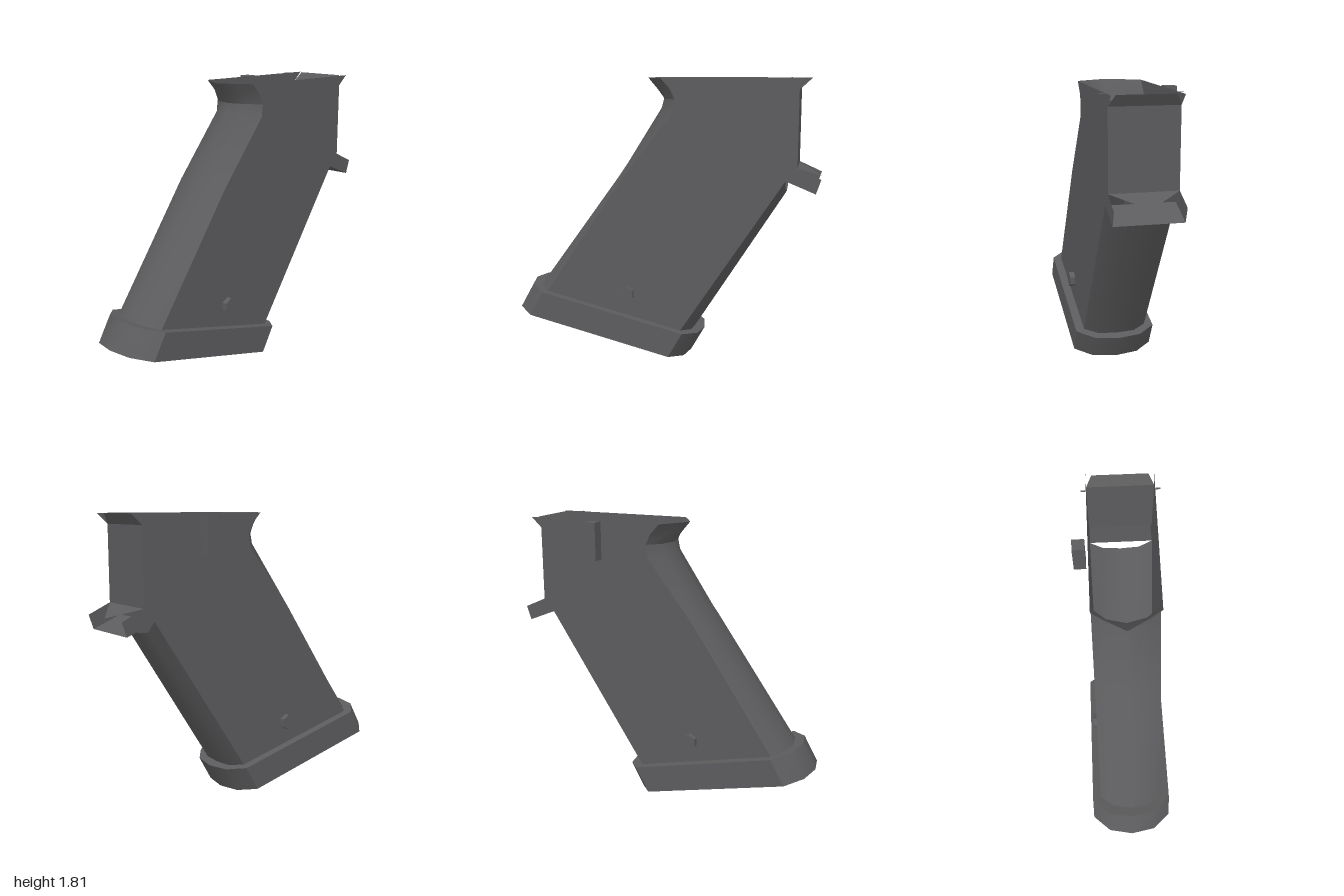
import * as THREE from 'three';
import { toCreasedNormals } from 'three/addons/utils/BufferGeometryUtils.js';

const CZ = 0.018;            // middle plane of the grip
const HALF = 0.205;          // half width of the grip body

export function createModel() {
  const group = new THREE.Group();
  const grey = new THREE.MeshStandardMaterial({ color: 0x5c5c5e, side: THREE.DoubleSide });
  grey.name = 'dark grey';

  const add = (name, geometry, x = 0, y = 0, z = 0) => {
    const mesh = new THREE.Mesh(geometry, grey);
    mesh.name = name;
    mesh.position.set(x, y, z);
    group.add(mesh);
    return mesh;
  };

  // Skin through rows of [x, y, z] points; ends are closed with fans if asked
  const loft = (rows, closeEnds = false) => {
    const n = rows[0].length, index = [];
    for (let r = 0; r < rows.length - 1; r++)
      for (let i = 0; i < n - 1; i++) {
        const a = r * n + i, b = a + n;
        index.push(a, a + 1, b, a + 1, b + 1, b);
      }
    if (closeEnds) {
      const last = (rows.length - 1) * n;
      for (let i = 1; i < n - 2; i++) {
        index.push(0, i + 1, i);
        index.push(last, last + i, last + i + 1);
      }
    }
    const g = new THREE.BufferGeometry();
    g.setAttribute('position', new THREE.Float32BufferAttribute(rows.flat(2), 3));
    g.setIndex(index);
    return toCreasedNormals(g, 0.75);
  };

  // Bowed row across the width: seam at both sides, tip in the middle
  const bow = ([sx, sy], [tx, ty], half, f) =>
    [[1, 0], [0.585, f], [0, 1], [-0.585, f], [-1, 0]].map(([w, k]) =>
      [sx + (tx - sx) * k, sy + (ty - sy) * k, CZ + half * w]);

  // Flat side panels
  const outline = [
    [-0.765, 0.415], [-0.24, 1.19], [0.08, 1.6], [0.09, 1.68], [0.06, 1.745], [0, 1.81],
    [0.92, 1.81], [0.85, 1.745], [0.85, 1.27], [0.995, 1.205], [0.965, 1.115],
    [0.78, 1.19], [0.13, 0.197],
  ];
  const side = new THREE.ShapeGeometry(new THREE.Shape(outline.map(p => new THREE.Vector2(...p))));
  add('leftSidePanel', side, 0, 0, CZ + HALF);
  add('rightSidePanel', side.clone().rotateX(Math.PI).scale(1, -1, 1), 0, 0, CZ - HALF);

  // Rounded back strap with a flared beak at the top
  const backTips = [[-0.85, 0.435], [-0.3, 1.19], [-0.03, 1.62], [-0.015, 1.68], [-0.06, 1.74], [-0.12, 1.81]];
  const backBow = [0.72, 0.72, 0.72, 0.72, 0.6, 0.45];
  const backRows = backTips.map((tip, i) => bow(outline[i], tip, HALF, backBow[i]));
  add('backStrap', loft(backRows.slice(0, 4)));
  add('backBeak', loft(backRows.slice(3)));

  // Rounded front strap
  add('frontStrap', loft([
    bow([0.13, 0.197], [0.2, 0.18], HALF, 0.85),
    bow([0.78, 1.19], [0.78, 1.1], HALF, 0.85),
  ]));

  // Upper front wall, its lip and the plate under the front tab
  const strip = (points) => loft(points.map(([x, y, h]) => [[x, y, CZ + h], [x, y, CZ - h]]));
  add('upperFrontWall', strip([[0.85, 1.27, HALF], [0.85, 1.745, HALF]]));
  add('topLip', strip([[0.85, 1.745, HALF], [0.89, 1.81, 0.17]]));
  add('tabPlate', strip([[0.78, 1.19, HALF], [0.965, 1.115, HALF]]));
  add('tabWedge', strip([[0.85, 1.27, HALF], [0.995, 1.205, 0.001]]));

  // Slanted base cap, bowed at both ends
  const capRing = (x0, y0, backSeam, backTip, frontSeam, frontTip) => {
    const at = x => [x, y0 - 0.244 * (x - x0)];
    const back = bow(at(backSeam), at(backTip), 0.26, 0.77);
    const front = bow(at(frontSeam), at(frontTip), 0.26, 0.77).reverse();
    return [...back, ...front, back[0]];
  };
  add('baseCap', loft([
    capRing(-1, 0.29, -0.87, -1, 0.06, 0.17),
    capRing(-0.91, 0.45, -0.78, -0.91, 0.15, 0.26),
  ], true));

  // Hexagonal screws and thin top pins on both sides
  for (const s of [1, -1]) {
    const name = s > 0 ? 'left' : 'right';
    const screw = new THREE.CylinderGeometry(0.05, 0.05, 0.035, 6).rotateX(Math.PI / 2);
    screw.rotateZ(Math.PI);
    add(name + 'Screw', toCreasedNormals(screw, 0.5), -0.22, 0.43, CZ + s * (HALF + 0.0175));
    add(name + 'Pin', new THREE.BoxGeometry(0.01, 0.004, 0.03), 0.785, 1.808, CZ + s * (HALF + 0.017));
  }

  // Small upright catch on the right side
  add('catchBar', new THREE.BoxGeometry(0.07, 0.24, 0.075), 0.43, 1.69, -0.243);

  return group;
}
